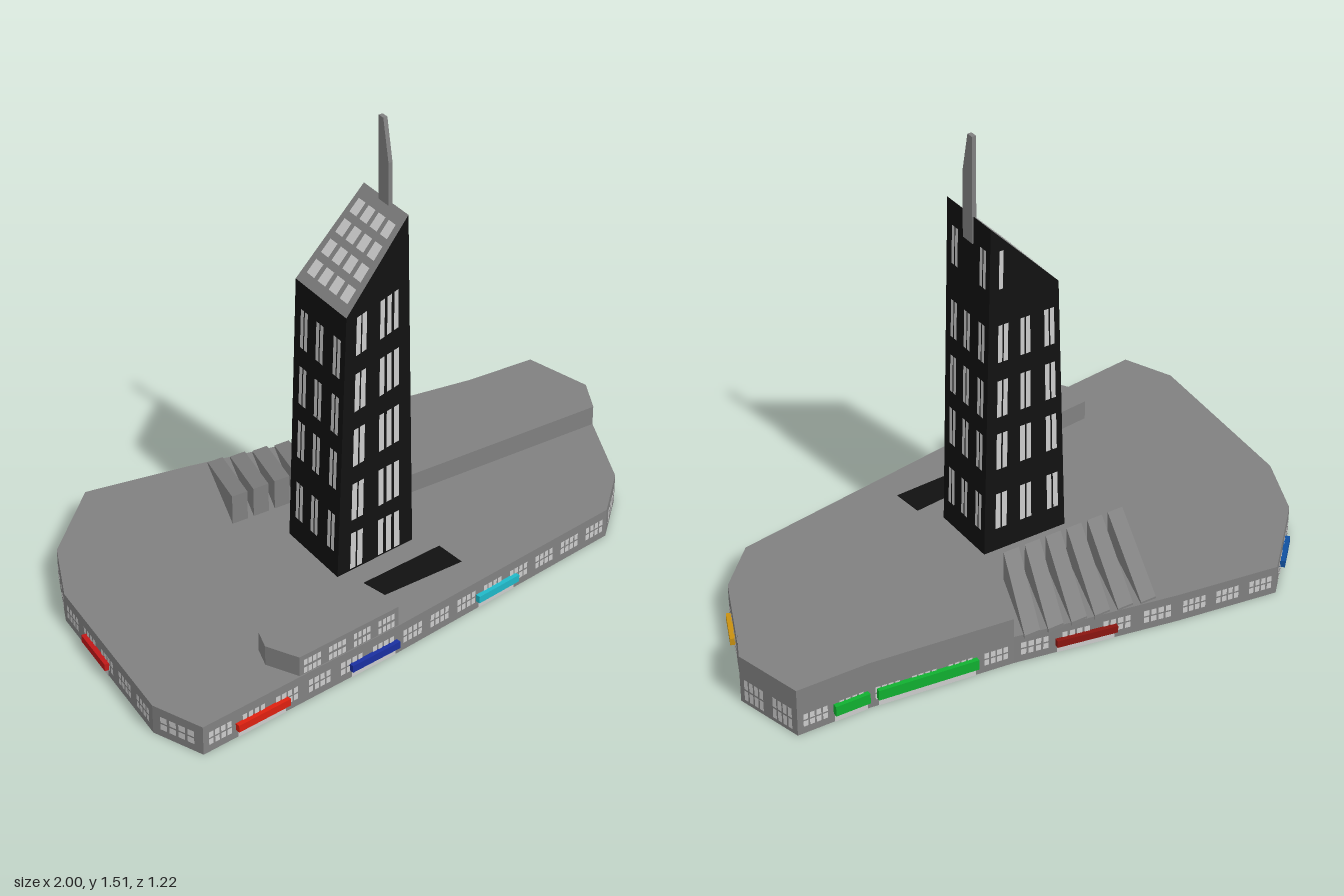
import * as THREE from 'three';

const mat = (color) => new THREE.MeshStandardMaterial({ color, flatShading: true, side: THREE.DoubleSide });
const stone = mat(0x808080), black = mat(0x111111), pane = mat(0xcccccc);

// Outlines are [x, z] points running from the front left corner towards +x and round the back
const baseOutline = [
  [-0.93, 0.6], [-0.2, 0.505], [0.68, 0.36], [0.82, 0.22], [0.94, -0.06], [1, -0.18], [0.94, -0.41],
  [0.7, -0.415], [0.23, -0.47], [-0.3, -0.57], [-0.64, -0.62], [-0.865, -0.39], [-0.955, -0.175], [-1, 0.435],
];
const blockOutline = [[0.18, -0.055], [0.94, -0.06], [1, -0.18], [0.94, -0.41], [0.7, -0.415], [0.23, -0.47], [0.18, -0.17]];
const frontOutline = [[-0.575, 0.55], [-0.2, 0.502], [-0.31, 0.345], [-0.61, 0.38], [-0.63, 0.45]];
const plazaOutline = [[-0.33, 0.22], [0.18, 0.22], [0.18, -0.16], [-0.33, -0.16]];
const towerFoot = [[-0.22, 0.2], [0.08, 0.16], [0.08, -0.075], [-0.22, -0.075]];

const points = (outline) => outline.map(([x, z]) => new THREE.Vector2(x, -z));

// Upright prism between two heights, with an optional hole
function prism(name, outline, y0, y1, material = stone, hole) {
  const shape = new THREE.Shape(points(outline));
  if (hole) shape.holes.push(new THREE.Path(points(hole)));
  const geo = new THREE.ExtrudeGeometry(shape, { depth: y1 - y0, bevelEnabled: false });
  geo.rotateX(-Math.PI / 2).translate(0, y0, 0);
  const mesh = new THREE.Mesh(geo, material);
  mesh.name = name;
  return mesh;
}

// Mesh from quads, each with four corners counter-clockwise from outside
function quadMesh(name, quads, material) {
  const pos = [];
  for (const [a, b, c, d] of quads) for (const p of [a, b, c, a, c, d]) pos.push(p.x, p.y, p.z);
  const geo = new THREE.BufferGeometry();
  geo.setAttribute('position', new THREE.Float32BufferAttribute(pos, 3));
  geo.computeVertexNormals();
  const mesh = new THREE.Mesh(geo, material);
  mesh.name = name;
  return mesh;
}

// A wall gives the point at fraction u along it and height y, lifted off its surface
function makeWall(p, q, pTop, qTop) {
  const normal = q.clone().sub(p).cross(pTop.clone().sub(p)).normalize();
  const edge = (lo, hi, y) => lo.clone().lerp(hi, (y - lo.y) / (hi.y - lo.y));
  const at = (u, y, lift = 0.002) => edge(p, pTop, y).lerp(edge(q, qTop, y), u).addScaledVector(normal, lift);
  return { at, normal, length: p.distanceTo(q) };
}
const walls = (outline, y0, y1) => outline.map(([x, z], i) => {
  const [x2, z2] = outline[(i + 1) % outline.length];
  const v = (a, y, b) => new THREE.Vector3(a, y, b);
  return makeWall(v(x, y0, z), v(x2, y0, z2), v(x, y1, z), v(x2, y1, z2));
});
const panel = (wall, u0, u1, y0, y1, skew = 0) => [
  wall.at(u0, y0 + skew * u0), wall.at(u1, y0 + skew * u1), wall.at(u1, y1 + skew * u1), wall.at(u0, y1 + skew * u0),
];

// Groups of small panes along a wall
function shopWindows(wall, quads, rows, spacing = 0.11) {
  const groups = Math.max(1, Math.floor(wall.length / spacing));
  for (let g = 0; g < groups; g++) {
    for (let k = 0; k < 4; k++) {
      const u = (g + 0.16 + k * 0.18) / groups;
      for (const [y0, y1] of rows) quads.push(panel(wall, u, u + 0.13 / groups, y0, y1));
    }
  }
}

// Blank coloured sign box over a pale doorway
function shopSign(wall, u0, u1, color, y0 = 0.028, y1 = 0.052) {
  const group = new THREE.Group();
  group.name = 'shopSign';
  const box = new THREE.Mesh(new THREE.BoxGeometry((u1 - u0) * wall.length, y1 - y0, 0.016), mat(color));
  box.name = 'signBoard';
  box.position.copy(wall.at((u0 + u1) / 2, (y0 + y1) / 2, 0.008));
  box.rotation.y = Math.atan2(wall.normal.x, wall.normal.z);
  group.add(box, quadMesh('doorway', [panel(wall, u0 + 0.01, u1 - 0.01, 0, 0.024)], pane));
  return group;
}

function buildTower() {
  const tower = new THREE.Group();
  tower.name = 'tower';
  const V = (x, y, z) => new THREE.Vector3(x, y, z);
  const low = towerFoot.map(([x, z]) => V(x, 0.09, z));
  const top = [V(-0.185, 1, 0.2), V(0.055, 1.25, 0.16), V(0.055, 1.25, -0.075), V(-0.185, 1, -0.075)];
  const sides = low.map((p, i) => {
    const j = (i + 1) % 4;
    return [p, low[j], top[j], top[i]];
  });
  tower.add(quadMesh('towerWalls', sides, black), quadMesh('slopedRoof', [top], stone));

  // Tall panes: two groups on the front, three groups of two on the other sides
  const frontCols = [0.16, 0.25, 0.53, 0.64, 0.75];
  const sideCols = [0.13, 0.21, 0.44, 0.52, 0.78, 0.86];
  const quads = [];
  sides.forEach(([p, q, qt, pt], s) => {
    const wall = makeWall(p, q, pt, qt);
    const rows = s === 0 ? [0.105, 0.28, 0.47, 0.66, 0.85] : [0.18, 0.4, 0.59, 0.785, 1.04];
    rows.forEach((y, r) => {
      for (const u of s === 0 ? frontCols : sideCols) {
        const limit = pt.y + (qt.y - pt.y) * u - 0.04;
        if (y + 0.13 > limit) continue;
        if (s === 1 && r === 4 && u > 0.4 && u < 0.6) continue;
        quads.push(panel(wall, u, u + (s === 0 ? 0.07 : 0.06), y, y + 0.13, s === 0 ? 0.012 * r : 0));
      }
    });
  });
  // Roof lights
  const roofNormal = V(-0.25, 0.24, 0).normalize().multiplyScalar(0.003);
  const onRoof = (u, v) => top[0].clone().lerp(top[1], u).lerp(top[3].clone().lerp(top[2], u), v).add(roofNormal);
  for (let i = 0; i < 4; i++) {
    for (let j = 0; j < 4; j++) {
      const u = 0.1 + i * 0.21, v = 0.09 + j * 0.22;
      quads.push([onRoof(u, v), onRoof(u + 0.14, v), onRoof(u + 0.14, v + 0.15), onRoof(u, v + 0.15)]);
    }
  }
  tower.add(quadMesh('towerWindows', quads, pane));

  // Blade mast, its profile drawn in z and y
  const blade = new THREE.Shape([[-0.068, 1.16], [-0.016, 1.16], [-0.016, 1.515], [-0.04, 1.515], [-0.068, 1.38]]
    .map(([x, y]) => new THREE.Vector2(x, y)));
  const mast = new THREE.Mesh(new THREE.ExtrudeGeometry(blade, { depth: 0.014, bevelEnabled: false }), stone);
  mast.geometry.rotateY(Math.PI / 2).translate(0.046, 0, 0);
  mast.name = 'mast';
  tower.add(mast);
  return tower;
}

// Slanting fins that slope down to the back edge
function buildFins() {
  const fins = new THREE.Group();
  fins.name = 'slopedFins';
  for (let i = 0; i < 6; i++) {
    const x = -0.34 + i * 0.077, zBack = -0.545 + i * 0.011, w = 0.055, shift = 0.105;
    const ring = (x0, z, h) => [[x0, 0.09], [x0 + w, 0.09], [x0 + w, h], [x0, h]]
      .map(([a, y]) => new THREE.Vector3(a, y, z));
    const f = ring(x, -0.215, 0.2), b = ring(x + shift, zBack, 0.105);
    const quads = [f, [b[1], b[0], b[3], b[2]]];
    for (let k = 0; k < 4; k++) {
      const n = (k + 1) % 4;
      quads.push([f[n], f[k], b[k], b[n]]);
    }
    fins.add(quadMesh('fin', quads, stone));
  }
  return fins;
}

export function createModel() {
  const model = new THREE.Group();
  model.name = 'towerComplex';

  // Podium with a recess below the plaza, and the raised roof blocks
  model.add(
    prism('podium', baseOutline, 0, 0.098, stone, plazaOutline),
    prism('plazaFloor', plazaOutline, 0.088, 0.098, stone, towerFoot),
    prism('rightBlock', blockOutline, 0.095, 0.165),
    prism('frontBlock', frontOutline, 0.095, 0.165),
    prism('entranceMat', [[-0.15, 0.355], [0.14, 0.34], [0.13, 0.235], [-0.17, 0.27]], 0.097, 0.1, black),
    buildTower(), buildFins(),
  );

  // Shop windows
  const base = walls(baseOutline, 0, 0.098);
  const quads = [];
  base.forEach((wall, i) => shopWindows(wall, quads, i === 5 ? [[0.015, 0.05], [0.056, 0.09]] : [[0.026, 0.046], [0.051, 0.071]]));
  shopWindows(walls(frontOutline, 0.095, 0.165)[0], quads, [[0.102, 0.122], [0.13, 0.15]], 0.09);
  model.add(quadMesh('shopWindows', quads, pane));

  // Signs: wall number, start, end, colour
  const signs = [
    [0, 0.16, 0.42, 0xdd2010], [0, 0.74, 0.99, 0x1a2fa0], [1, 0.36, 0.55, 0x20b8c8], [3, 0.26, 0.68, 0xc89010],
    [8, 0.25, 0.62, 0x8a1510], [10, 0.3, 0.72, 0x1050a0], [12, 0.25, 0.52, 0xc01818],
  ];
  for (const s of signs) model.add(shopSign(base[s[0]], s[1], s[2], s[3]));
  model.add(shopSign(base[7], 0.05, 0.74, 0x10b030, 0.03, 0.065), shopSign(base[6], 0.5, 0.98, 0x10b030, 0.03, 0.065));
  return model;
}
